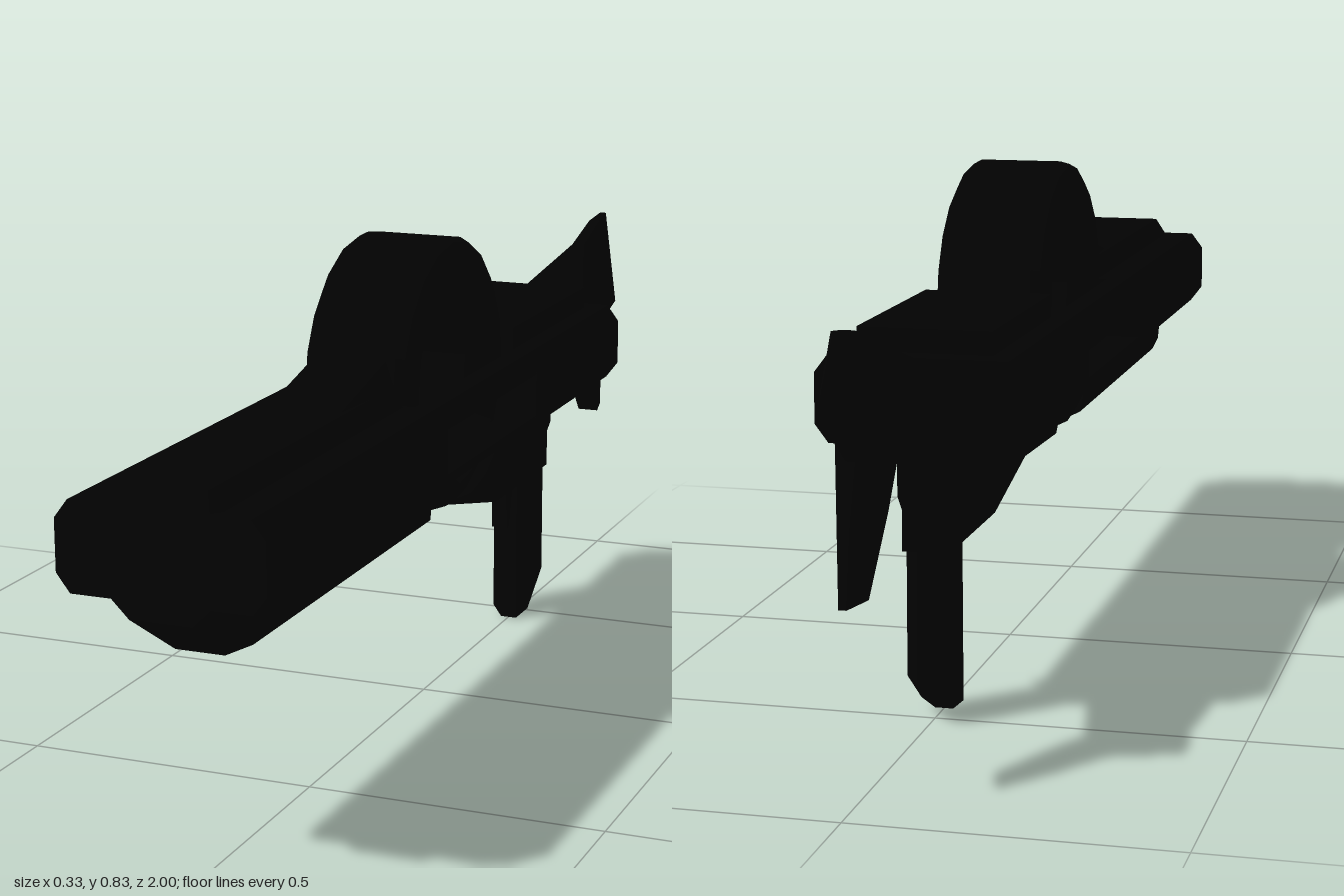
import * as THREE from 'three';
import { ConvexGeometry } from 'three/addons/geometries/ConvexGeometry.js';

const material = new THREE.MeshStandardMaterial({ color: 0x020202, flatShading: true, side: THREE.DoubleSide });

function shapeOf(points) {
  return new THREE.Shape(points.map(([a, b]) => new THREE.Vector2(a, b)));
}

// Moves every vertex by a rule
function warp(geometry, rule) {
  const p = geometry.attributes.position;
  const v = new THREE.Vector3();
  for (let i = 0; i < p.count; i++) {
    v.fromBufferAttribute(p, i);
    rule(v);
    p.setXYZ(i, v.x, v.y, v.z);
  }
  geometry.computeVertexNormals();
  return geometry;
}

// Side profile of (z, y) points given thickness across x, with bevelled edges
function slab(profile, halfWidth, bevel = 0, inset = bevel) {
  const g = new THREE.ExtrudeGeometry(shapeOf(profile), {
    depth: 2 * (halfWidth - bevel), bevelEnabled: bevel > 0, bevelSegments: 1,
    bevelThickness: bevel, bevelSize: inset, bevelOffset: -inset,
  });
  g.translate(0, 0, -(halfWidth - bevel));
  g.rotateY(-Math.PI / 2);
  return g;
}

// Cross-section of (x, y) points run along z
function run(section, z0, z1) {
  const g = new THREE.ExtrudeGeometry(shapeOf(section), { depth: z1 - z0, bevelEnabled: false });
  return g.translate(0, 0, z0);
}

// Completes a half cross-section by mirroring it over x = 0
function mirrored(half) {
  return [...half, ...half.map(([x, y]) => [-x, y]).reverse()];
}

// Faceted solid around (x, y, z) corners and their mirror images
function hull(corners) {
  return new ConvexGeometry(corners.flatMap(([x, y, z]) => (x === 0
    ? [new THREE.Vector3(0, y, z)]
    : [new THREE.Vector3(x, y, z), new THREE.Vector3(-x, y, z)])));
}

export function createModel() {
  const model = new THREE.Group();
  const add = (name, geometry) => {
    const mesh = new THREE.Mesh(geometry, material);
    mesh.name = name;
    model.add(mesh);
  };

  // Front barrel housing, sloped under the ring
  const barrelHalf = [[0.04, 0.35], [0.085, 0.372], [0.096, 0.395], [0.096, 0.59], [0.07, 0.627]];
  add('barrelHousing', warp(run(mirrored(barrelHalf), 0, 0.88), (v) => {
    if (v.z < 0.5) v.z = Math.min(0.32, 0.16 + (v.y - 0.35) * 1.09);
  }));

  // Nose tapering to a smaller front face
  add('nose', hull([
    ...barrelHalf.slice(0, 3).map(([x, y]) => [x, y, 0.88]),
    [0.096, 0.59, 0.98], [0.07, 0.627, 0.985], [0.096, 0.59, 0.88], [0.07, 0.627, 0.88],
    [0.05, 0.43, 1], [0.08, 0.46, 1], [0.08, 0.59, 1], [0.06, 0.613, 1],
  ]));

  // Ramp rising toward the ring
  const ramp = slab([[0.5, 0.627], [0.32, 0.67], [0.32, 0.6], [0.5, 0.6]], 0.085);
  add('barrelRamp', warp(ramp, (v) => { if (v.y > 0.61) v.x *= 0.72; }));

  // Central ring, its bore flaring toward both sides
  const ringSection = [
    [0.15, -0.05], [0.19, -0.098], [0.2, -0.098], [0.225, -0.085], [0.233, -0.07],
    [0.233, 0.07], [0.225, 0.085], [0.2, 0.098], [0.19, 0.098], [0.15, 0.05], [0.15, -0.05],
  ].map(([r, h]) => new THREE.Vector2(r, h));
  const ring = new THREE.LatheGeometry(ringSection, 20);
  ring.rotateZ(Math.PI / 2);
  add('ring', ring.translate(0, 0.6, 0.08));

  // Solid side rails fore and aft of the ring
  const railSection = mirrored([[0.143, 0.458], [0.165, 0.487], [0.165, 0.568], [0.143, 0.597]]);
  add('frontRails', run(railSection, 0.31, 1));
  add('rearRails', run(railSection, -0.59, -0.12));

  // Paired bars passing the ring on each side
  const bar = [[0.108, 0.565], [0.165, 0.565], [0.143, 0.597], [0.108, 0.597]];
  for (const side of [-1, 1]) {
    const name = side > 0 ? 'left' : 'right';
    add(name + 'UpperBar', run(bar.map(([x, y]) => [side * x, y]), -0.14, 0.33));
    add(name + 'LowerBar', run(bar.map(([x, y]) => [side * x, 1.055 - y]), -0.14, 0.33));
  }

  // Receiver block behind the ring
  add('receiver', new THREE.BoxGeometry(0.216, 0.175, 0.395).translate(0, 0.548, -0.3525));

  // Lower housing with a raked front, narrowing to the rear, and a keel beneath it
  const lower = run(mirrored([[0.038, 0.35], [0.085, 0.37], [0.097, 0.395], [0.097, 0.47]]), -0.55, 0);
  add('lowerHousing', warp(lower, (v) => {
    if (v.z > -0.3) v.z = 0.02 - (v.y - 0.35) * 1.55;
    else v.x = Math.sign(v.x) * Math.min(Math.abs(v.x), 0.045);
  }));
  add('keel', slab([[0.02, 0.35], [-0.26, 0.283], [-0.55, 0.283], [-0.55, 0.4], [-0.06, 0.4]], 0.038));

  // Grip and trigger
  add('grip', slab([[-0.445, 0], [-0.55, 0.07], [-0.55, 0.4], [-0.445, 0.4]], 0.035, 0.02, 0.015));
  add('trigger', slab([[-0.385, 0.3], [-0.39, 0.195], [-0.4, 0.2], [-0.425, 0.3]], 0.015));

  // Stock neck, ridged along the top
  const stockSection = [[0.012, 0.663, -0.84], [0.08, 0.555, -0.84], [0.03, 0.497, -0.84]];
  add('stockNeck', hull([
    [0.04, 0.57, -0.56], [0.105, 0.545, -0.56], [0.105, 0.515, -0.56], [0.06, 0.495, -0.56], ...stockSection,
  ]));

  // Forked tail of the stock, thinning to a sharp rear edge
  add('stockUpperFin', hull([
    ...stockSection, [0.01, 0.695, -0.94], [0.006, 0.703, -1], [0.006, 0.69, -1], [0.006, 0.5, -0.93],
  ]));
  add('stockLowerFin', hull([
    [0.03, 0.495, -0.81], [0.05, 0.53, -0.85], [0.006, 0.51, -0.932], [0.03, 0.42, -0.852],
    [0.006, 0.41, -0.965], [0.02, 0.305, -0.92], [0.006, 0.305, -0.982],
  ]));

  return model;
}
